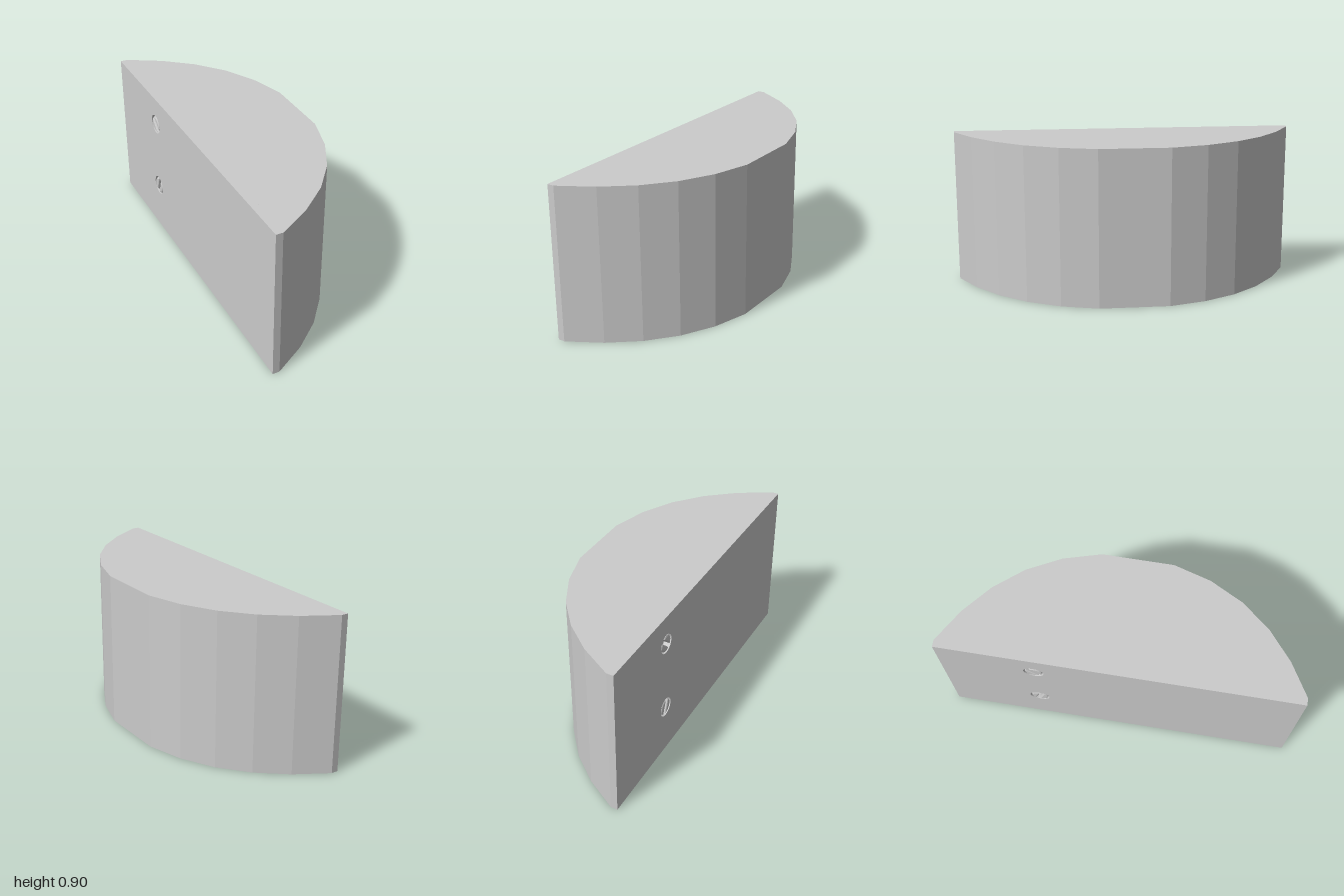
import * as THREE from 'three';

const HEIGHT = 0.9;
const BACK = -0.34;   // flat mounting face
const SEAM = -0.3;    // where the curved body meets the mounting plate
const screws = [
  { z: -0.466, y: 0.73, slot: -0.75 },
  { z: -0.466, y: 0.30, slot: 1.25 },
];

const material = new THREE.MeshStandardMaterial({ color: 0xcccccc, flatShading: true });

function addMesh(parent, name, geometry) {
  const mesh = new THREE.Mesh(geometry, material);
  mesh.name = name;
  parent.add(mesh);
  return mesh;
}

// Faceted half-round body, mirrored about z = 0
function bodyGeometry() {
  const half = [[SEAM, 1], [-0.113, 0.89], [0.048, 0.757], [0.18, 0.598], [0.279, 0.41], [0.34, 0.2]];
  const mirrored = half.map(([x, z]) => [x, -z]).reverse();
  const outline = [...half, ...mirrored].map(([x, z]) => new THREE.Vector2(x, z));
  return new THREE.ExtrudeGeometry(new THREE.Shape(outline), { depth: HEIGHT, bevelEnabled: false })
    .rotateX(-Math.PI / 2);
}

// Mounting plate with a round hole for every screw
function plateGeometry() {
  const shape = new THREE.Shape([
    new THREE.Vector2(-1, 0), new THREE.Vector2(1, 0),
    new THREE.Vector2(1, HEIGHT), new THREE.Vector2(-1, HEIGHT),
  ]);
  for (const { z, y } of screws) {
    shape.holes.push(new THREE.Path().absarc(z, y, 0.057, 0, Math.PI * 2, true));
  }
  return new THREE.ExtrudeGeometry(shape, { depth: SEAM - BACK, bevelEnabled: false, curveSegments: 12 })
    .rotateY(-Math.PI / 2);
}

// Half of a bevelled screw head, leaving the slot open along local x
function halfHeadGeometry() {
  const radius = 0.04;
  const gap = 0.017;
  const start = Math.asin(gap / radius);
  const shape = new THREE.Shape().absarc(0, 0, radius, start, Math.PI - start, false);
  return new THREE.ExtrudeGeometry(shape, {
    depth: 0.03, curveSegments: 8, bevelThickness: 0.011, bevelSize: 0.01, bevelSegments: 2,
  });
}

export function createModel() {
  const model = new THREE.Group();
  model.name = 'halfRoundBlock';

  addMesh(model, 'body', bodyGeometry());
  addMesh(model, 'mountingPlate', plateGeometry()).position.x = SEAM;

  // Slotted screw heads, set in the holes and facing -x
  for (const { z, y, slot } of screws) {
    const holder = new THREE.Group();
    holder.name = 'screw';
    holder.position.set(SEAM, y, z);
    holder.rotation.y = -Math.PI / 2;
    for (const turn of [0, Math.PI]) {
      addMesh(holder, 'screwHeadHalf', halfHeadGeometry()).rotation.z = slot + turn;
    }
    model.add(holder);
  }
  return model;
}
